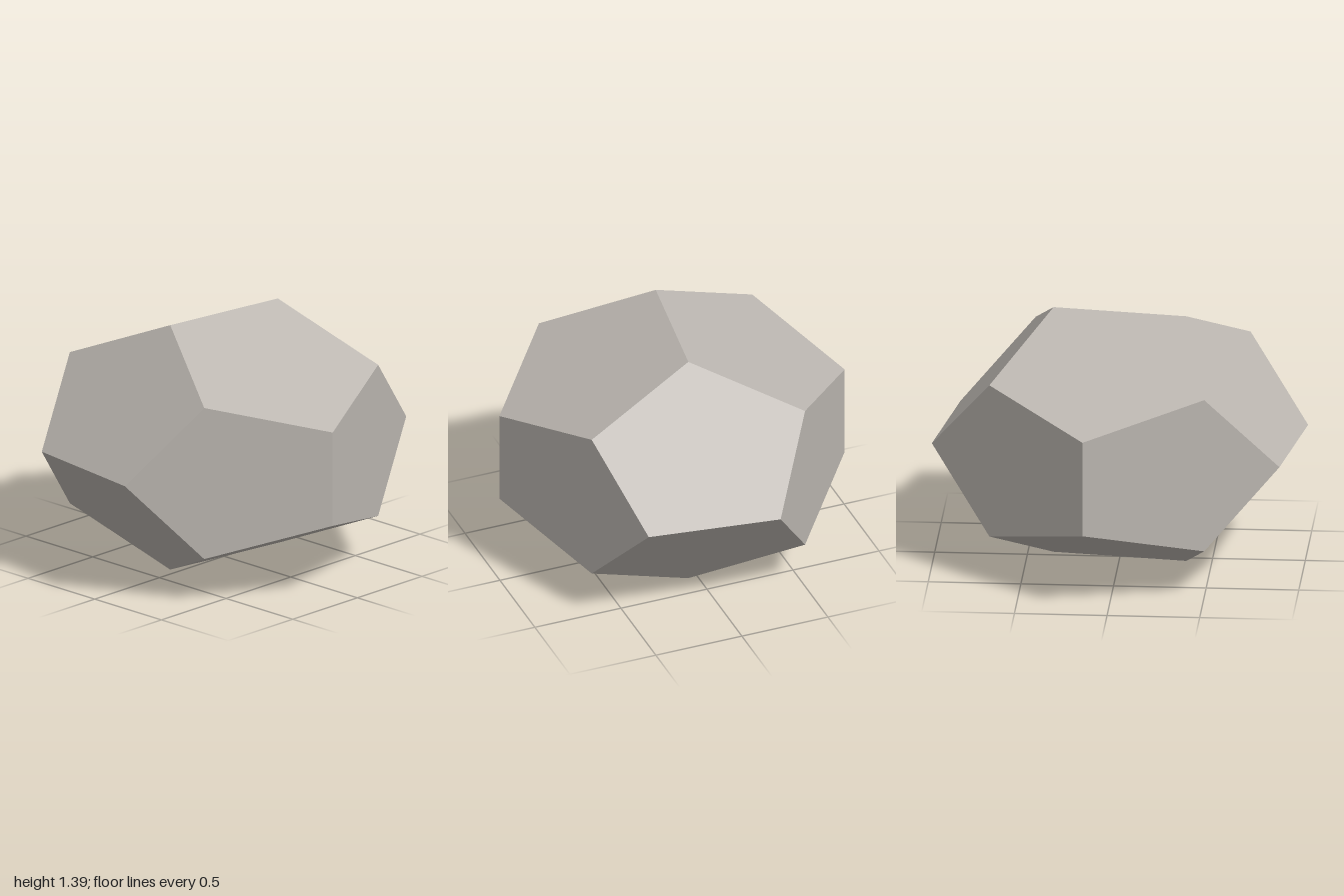
import * as THREE from 'three';

export function createModel() {
  const group = new THREE.Group();
  group.name = 'rock';

  const stoneGrey = new THREE.MeshStandardMaterial({ color: 0xbcb7b1 });
  stoneGrey.name = 'stoneGrey';
  stoneGrey.flatShading = true;

  // Faceted boulder: a dodecahedron squashed in height and turned slightly
  const size = 0.5917;
  const height = 1.39;
  const phi = (1 + Math.sqrt(5)) / 2;
  const geometry = new THREE.DodecahedronGeometry(size * Math.sqrt(3), 0);
  geometry.scale(1, height / (2 * phi * size), 1);
  geometry.rotateY(-THREE.MathUtils.degToRad(8.2));
  geometry.translate(0, height / 2, 0);

  const boulder = new THREE.Mesh(geometry, stoneGrey);
  boulder.name = 'boulder';
  group.add(boulder);
  return group;
}
